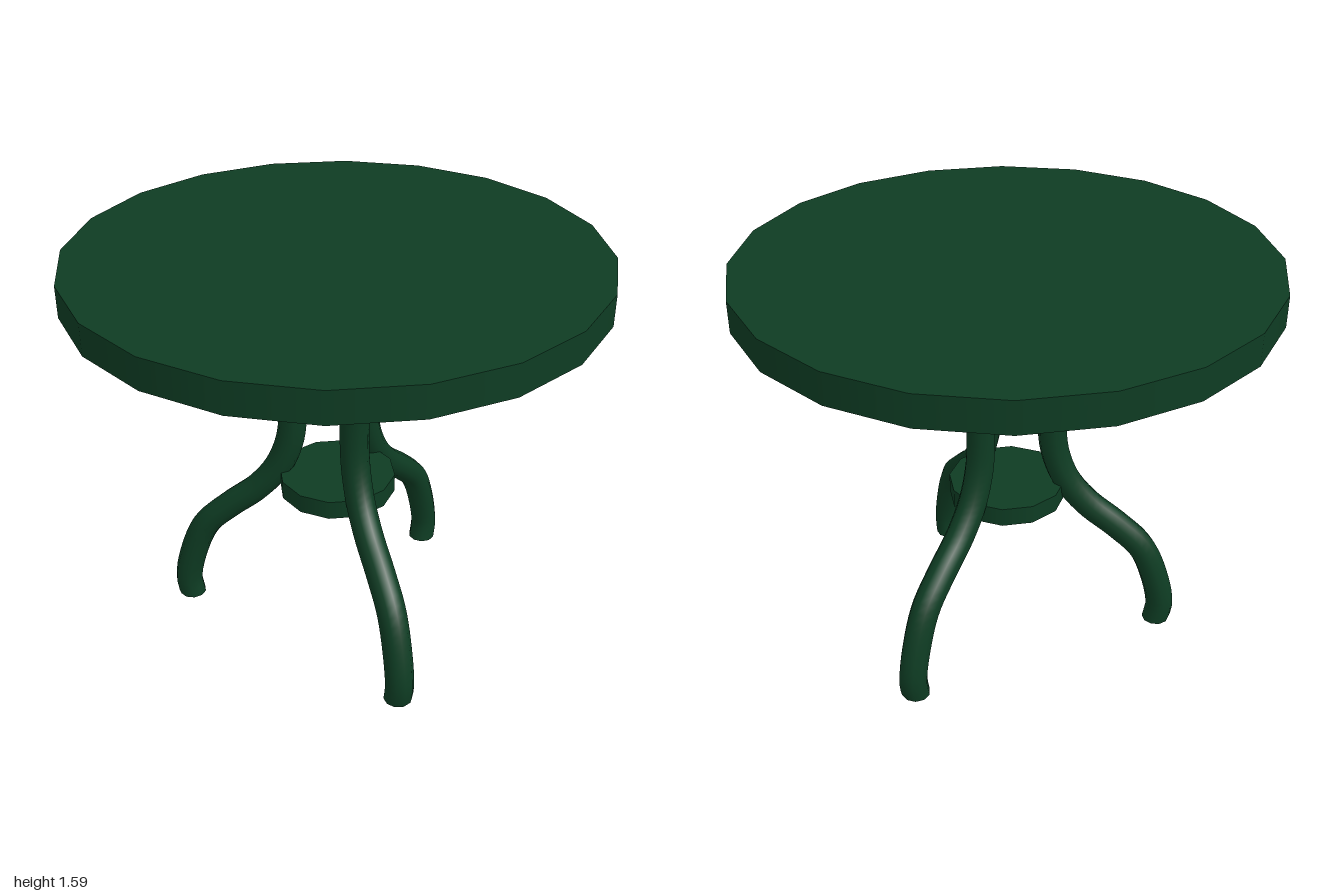
import * as THREE from 'three';

const green = new THREE.MeshStandardMaterial({ color: 0x0e3c23 });
green.name = 'darkGreen';

// Leg centreline as [distance from axis, height], foot to scroll tip
const LEG_PATH = [
  [0.625, 0], [0.637, 0.07], [0.612, 0.2], [0.545, 0.36], [0.44, 0.465], [0.32, 0.565],
  [0.237, 0.67], [0.187, 0.8], [0.174, 0.95], [0.187, 1.1], [0.237, 1.25], [0.325, 1.37],
  [0.43, 1.432], [0.53, 1.445], [0.62, 1.42], [0.663, 1.35], [0.643, 1.29], [0.605, 1.267], [0.565, 1.272],
];

// Round bar swept along the path, thinning through the scroll, with flat ends
function legGeometry(steps = 64, sides = 10) {
  const curve = new THREE.CatmullRomCurve3(LEG_PATH.map(([r, y]) => new THREE.Vector3(r, y, 0)));
  const pos = [], index = [];
  for (let i = 0; i <= steps; i++) {
    const u = i / steps;
    const p = curve.getPointAt(u), t = curve.getTangentAt(u);
    const radius = 0.056 - 0.026 * THREE.MathUtils.smoothstep(u, 0.65, 1);
    for (let j = 0; j < sides; j++) {
      const a = (j / sides) * Math.PI * 2, c = Math.cos(a) * radius;
      const y = i === 0 ? 0 : p.y - t.x * c;
      pos.push(p.x + t.y * c, y, Math.sin(a) * radius);
      if (i < steps) {
        const k = i * sides + j, n = i * sides + (j + 1) % sides;
        index.push(k, k + sides, n, n, k + sides, n + sides);
      }
    }
  }
  // End caps use their own copies of the end rings to stay crisp
  for (const [ring, flip] of [[0, false], [steps, true]]) {
    const base = pos.length / 3;
    pos.push(...pos.slice(ring * sides * 3, (ring + 1) * sides * 3));
    for (let j = 1; j < sides - 1; j++) {
      index.push(base, base + (flip ? j + 1 : j), base + (flip ? j : j + 1));
    }
  }
  const g = new THREE.BufferGeometry();
  g.setAttribute('position', new THREE.Float32BufferAttribute(pos, 3));
  g.setIndex(index);
  g.computeVertexNormals();
  return g;
}

export function createModel() {
  const table = new THREE.Group();
  table.name = 'roundTable';

  const add = (name, geometry, y = 0) => {
    const mesh = new THREE.Mesh(geometry, green);
    mesh.name = name;
    mesh.position.y = y;
    table.add(mesh);
    return mesh;
  };

  // Thick tabletop and the small disc joining the legs
  add('tabletop', new THREE.CylinderGeometry(1, 1, 0.12, 20), 1.53);
  add('braceDisc', new THREE.CylinderGeometry(0.23, 0.23, 0.075, 12), 0.63);

  // Three scrolled legs: one at the back, two at the front
  const leg = legGeometry();
  ['backLeg', 'frontRightLeg', 'frontLeftLeg'].forEach((name, i) => {
    add(name, leg).rotation.y = Math.PI / 2 + (i * Math.PI * 2) / 3;
  });
  return table;
}
